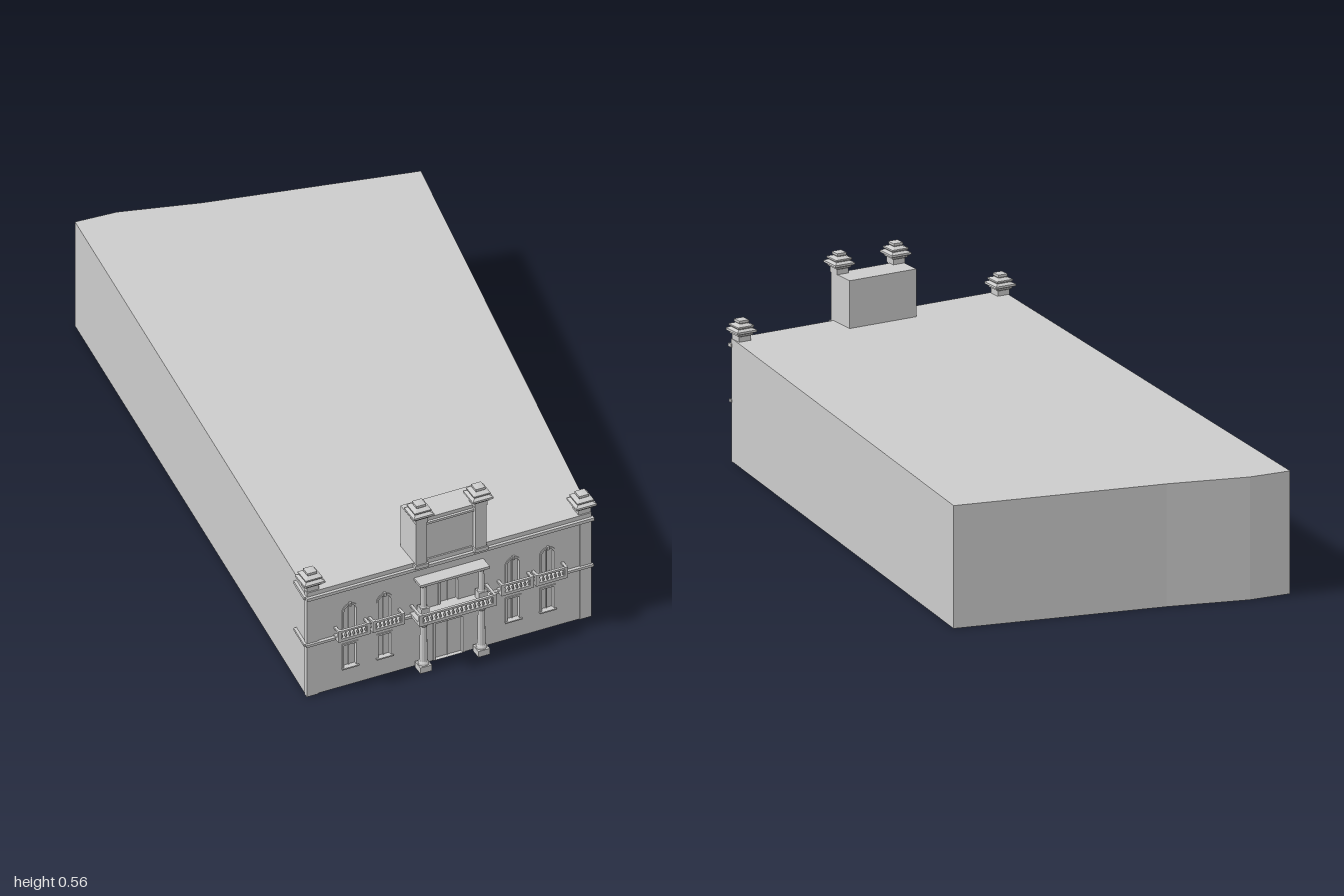
import * as THREE from 'three';

const mat = new THREE.MeshStandardMaterial({ color: 0xcccccc, flatShading: true, side: THREE.DoubleSide });
const H = 0.36, HALF = 0.442, T = 0.012;

function add(parent, name, geo, x = 0, y = 0, z = 0) {
  const m = new THREE.Mesh(geo, mat);
  m.name = name;
  m.position.set(x, y, z);
  parent.add(m);
  return m;
}

// Box given by its centre x, bottom y and centre z
function box(parent, name, w, h, d, x, y, z) {
  return add(parent, name, new THREE.BoxGeometry(w, h, d), x, y + h / 2, z);
}

// Square or round turned piece from [halfWidth, height] pairs
function turned(parent, name, profile, x, y, z, sides = 4) {
  const k = sides === 4 ? Math.SQRT2 : 1;
  const pts = profile.map(([r, h]) => new THREE.Vector2(r * k, h));
  return add(parent, name, new THREE.LatheGeometry(pts, sides, Math.PI / 4), x, y, z);
}

// Opening outline, optionally with a round head
function opening(path, x, y, w, h, arched) {
  const r = w / 2;
  path.moveTo(x - r, y);
  path.lineTo(x + r, y);
  if (arched) {
    path.lineTo(x + r, y + h - r);
    path.absarc(x, y + h - r, r, 0, Math.PI, false);
  } else {
    path.lineTo(x + r, y + h);
    path.lineTo(x - r, y + h);
  }
  path.closePath();
  return path;
}

// Slab, rail and balusters of one balcony section
function balcony(parent, x, w, d) {
  const g = new THREE.Group();
  g.name = 'balcony';
  g.position.set(x, 0.178, 0);
  parent.add(g);
  box(g, 'balconySlab', w, 0.01, d, 0, 0, d / 2);
  box(g, 'handRail', w, 0.006, 0.008, 0, 0.03, d - 0.005);
  for (const s of [-1, 1]) {
    box(g, 'sideRail', 0.008, 0.006, d, s * (w / 2 - 0.004), 0.03, d / 2);
    box(g, 'balconyPost', 0.01, 0.034, 0.01, s * (w / 2 - 0.005), 0.004, d - 0.005);
  }
  const n = Math.round(w / 0.013);
  for (let i = 1; i < n; i++)
    turned(g, 'baluster', [[0.002, 0], [0.0042, 0.007], [0.002, 0.015], [0.003, 0.021]],
      -w / 2 + (i * w) / n, 0.01, d - 0.005, 6);
}

const finial = [[0, 0], [0.019, 0], [0.019, 0.015], [0.024, 0.018], [0.024, 0.022], [0.032, 0.026],
  [0.032, 0.032], [0.022, 0.037], [0.026, 0.041], [0.026, 0.045], [0.012, 0.05], [0.015, 0.053],
  [0.015, 0.06], [0, 0.062]];

export function createModel() {
  const root = new THREE.Group();
  root.name = 'building';

  // Long main block on its skewed footprint (x, z)
  const plan = [[0.757, 0.762], [0.976, -0.093], [-0.56, -0.775], [-0.84, -0.21], [-0.96, 0], [-1, 0.12]];
  const base = new THREE.Shape(plan.map(([x, z]) => new THREE.Vector2(x, -z)));
  const body = add(root, 'mainBlock', new THREE.ExtrudeGeometry(base, { depth: H, bevelEnabled: false }));
  body.rotation.x = -Math.PI / 2;

  // Facade frame: x runs along the street front, z points outwards
  const f = new THREE.Group();
  f.name = 'facade';
  f.position.set(0.875, 0, 0.3375);
  f.rotation.y = Math.atan2(0.968, 0.249);
  root.add(f);

  // Front wall pierced by doors and windows
  const openings = [[0, 0.001, 0.085, 0.125, false], [0, 0.19, 0.055, 0.09, true]];
  for (const x of [-0.307, -0.2, 0.2, 0.307])
    openings.push([x, 0.065, 0.038, 0.075, false], [x, 0.19, 0.038, 0.085, true]);
  const wall = new THREE.Shape([[-HALF, 0], [HALF, 0], [HALF, H], [-HALF, H]].map(p => new THREE.Vector2(...p)));
  for (const o of openings) wall.holes.push(opening(new THREE.Path(), ...o));
  add(f, 'frontWall', new THREE.ExtrudeGeometry(wall, { depth: T, bevelEnabled: false, curveSegments: 8 }), 0, 0, -T);

  // Raised surrounds and glazing bars
  for (const [x, y, w, h, arched] of openings) {
    const s = opening(new THREE.Shape(), x, y, w + 0.012, h + 0.006, arched);
    s.holes.push(opening(new THREE.Path(), x, y, w, h, arched));
    add(f, 'surround', new THREE.ExtrudeGeometry(s, { depth: 0.003, bevelEnabled: false, curveSegments: 8 }));
    box(f, 'mullion', 0.003, h - 0.002, 0.004, x, y, -T + 0.004);
    if (arched) box(f, 'keystone', 0.007, 0.012, 0.007, x, y + h - 0.002, 0.003);
    else if (y > 0.05) box(f, 'sill', w + 0.014, 0.004, 0.008, x, y - 0.004, 0.004);
  }

  // String course and cornice, returning a little along the side wall
  for (const [name, y, h, d] of [['stringCourse', 0.175, 0.008, 0.01], ['cornice', 0.336, 0.01, 0.014]]) {
    box(f, name, HALF * 2 + 0.008, h, d, 0, y, d / 2);
    const side = box(root, name + 'Return', 0.085, h, 0.016, 0.727, y, 0.752);
    side.rotation.y = -Math.atan2(0.642, 1.757);
  }
  box(f, 'parapetBand', HALF * 2, 0.014, 0.008, 0, 0.346, 0.001);

  // Corner pilasters and finials
  for (const s of [-1, 1]) {
    box(f, 'cornerPilaster', 0.036, 0.336, 0.004, s * (HALF - 0.018), 0, 0.001);
    turned(f, 'cornerFinial', finial, s * (HALF - 0.02), H, -0.018);
  }

  // Attic block above the entrance with its piers
  box(f, 'atticBlock', 0.218, 0.142, 0.085, 0, H - 0.002, -0.042);
  box(f, 'atticMoulding', 0.19, 0.007, 0.01, 0, 0.482, 0.003);
  for (const s of [-1, 1]) {
    const x = s * 0.092;
    box(f, 'atticPier', 0.034, 0.155, 0.034, x, 0.346, 0);
    box(f, 'atticPierFoot', 0.042, 0.012, 0.042, x, 0.346, 0);
    turned(f, 'atticFinial', finial, x, 0.5, 0);
  }

  // Entrance columns on two storeys
  for (const s of [-1, 1]) {
    const x = s * 0.09, z = 0.024;
    box(f, 'columnPlinth', 0.036, 0.02, 0.036, x, 0, z);
    turned(f, 'lowerColumn', [[0.016, 0], [0.016, 0.006], [0.012, 0.012], [0.01, 0.13], [0.014, 0.135],
      [0.014, 0.14], [0.017, 0.148]], x, 0.02, z, 12);
    box(f, 'lowerCapital', 0.036, 0.01, 0.036, x, 0.168, z);
    box(f, 'upperPlinth', 0.026, 0.03, 0.026, x, 0.186, z);
    turned(f, 'upperColumn', [[0.012, 0], [0.009, 0.006], [0.008, 0.07], [0.011, 0.075], [0.013, 0.082]],
      x, 0.214, z, 12);
  }
  box(f, 'entablature', 0.215, 0.008, 0.042, 0, 0.296, 0.021);

  // Central balcony and paired side balconies
  balcony(f, 0, 0.24, 0.062);
  for (const x of [-0.307, -0.2, 0.2, 0.307]) balcony(f, x, 0.1, 0.03);

  return root;
}
